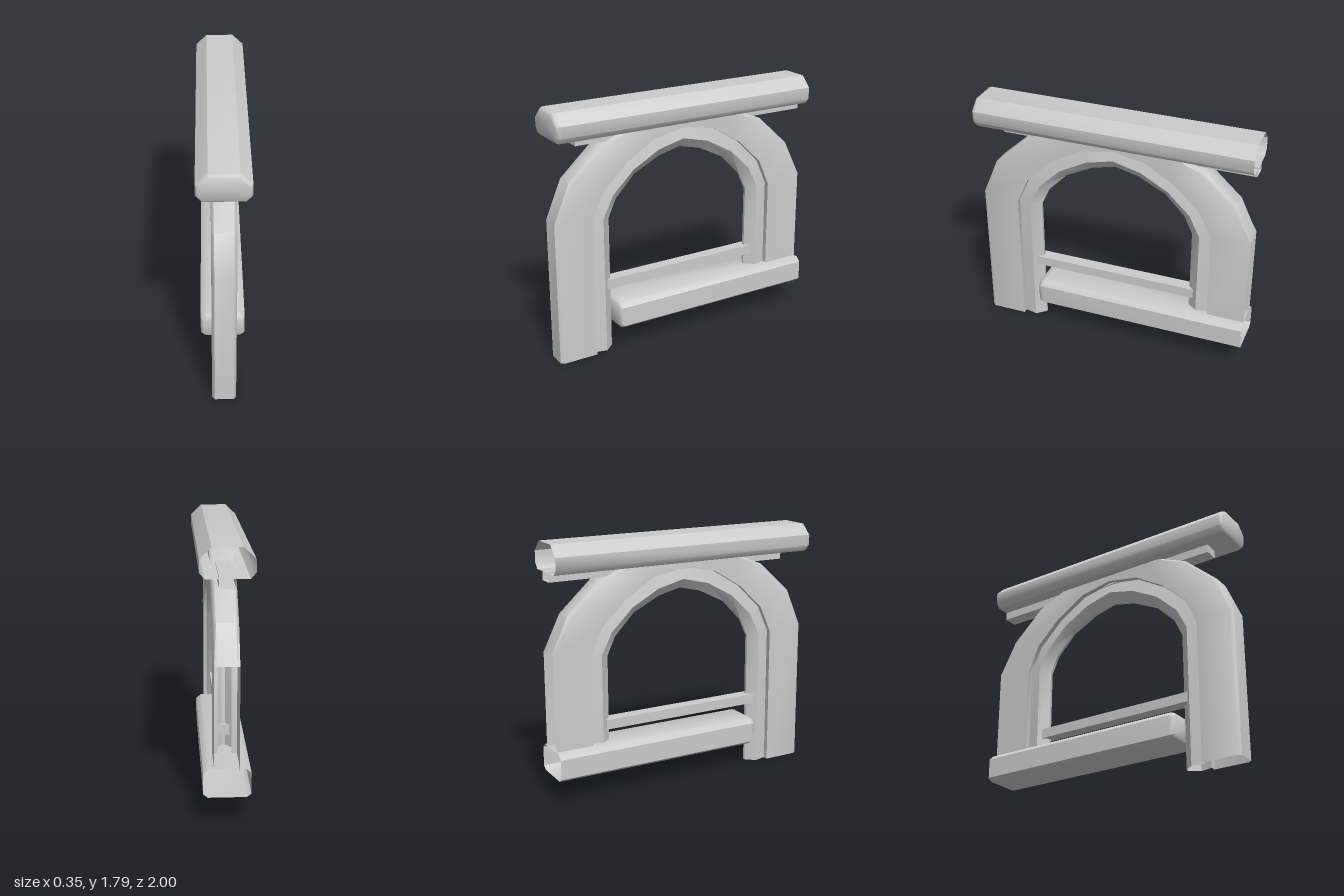
import * as THREE from 'three';
import { toCreasedNormals } from 'three/addons/utils/BufferGeometryUtils.js';

// Double sided, because the beams and legs are open at their ends
const material = new THREE.MeshStandardMaterial({ color: 0xcccccc, side: THREE.DoubleSide });

// Skins a list of closed rings; the ends stay open and skip(i, j) leaves out a face
function loft(name, rings, crease, skip = () => false) {
  const n = rings[0].length, index = [];
  for (let i = 0; i < rings.length - 1; i++) {
    for (let j = 0; j < n; j++) {
      if (skip(i, j)) continue;
      const a = i * n + j, b = i * n + (j + 1) % n;
      index.push(a, b, b + n, a, b + n, a + n);
    }
  }
  const geometry = new THREE.BufferGeometry();
  geometry.setAttribute('position', new THREE.Float32BufferAttribute(rings.flat(2), 3));
  geometry.setIndex(index);
  const mesh = new THREE.Mesh(toCreasedNormals(geometry, crease), material);
  mesh.name = name;
  return mesh;
}

// Completes a +x half section with its mirror image
const mirrorX = (half) => [...half, ...half.map(([x, y, z]) => [-x, y, z]).reverse()];

// Beam along z: rounded front end, open back end at z = -1
function beam(name, half, front, bevel) {
  const ys = half.map((p) => p[1]);
  const top = Math.max(...ys), bottom = Math.min(...ys), mid = (top + bottom) / 2;
  const width = Math.max(...half.map((p) => p[0]));
  const ring = (z, inset) => mirrorX(half.map(([x, y]) => [
    x * (1 - inset / width),
    mid + (y - mid) * (1 - inset / (mid - bottom)),
    z,
  ]));
  const centre = mirrorX(half.map(() => [0, mid, front]));
  return loft(name, [
    centre,
    ring(front, bevel * 0.6),
    ring(front - bevel * 0.35, bevel * 0.2),
    ring(front - bevel, 0),
    ring(-1, 0),
  ], 0.75);
}

// Arch stations as [z, y]: outer edge, panel edge, moulding crest, opening
const stations = [
  [[1, 0], [0.725, 0], [0.637, 0], [0.57, 0]],
  [[1, 1.03], [0.725, 1.01], [0.637, 1], [0.57, 0.98]],
  [[0.885, 1.3], [0.64, 1.2], [0.56, 1.155], [0.51, 1.11]],
  [[0.645, 1.52], [0.46, 1.375], [0.4, 1.31], [0.365, 1.26]],
  [[0.34, 1.65], [0.24, 1.51], [0.2, 1.42], [0.165, 1.36]],
  [[0, 1.7], [0, 1.555], [0, 1.47], [0, 1.4]],
];

function archRing([outer, panel, crest, opening]) {
  // Small chamfer on the outer edge, pulled toward the panel edge
  const chamfer = outer.map((v, k) => v + (panel[k] - v) * 0.085);
  const section = [[0.063, outer], [0.082, chamfer], [0.082, panel], [0.045, panel], [0.065, crest], [0.01, opening]];
  return mirrorX(section.map(([x, [z, y]]) => [x, y, z]));
}

function buildArch() {
  // The back half mirrors the front; its leg is cut off at z = -1 and rests on the lower rail
  const back = stations.slice(0, -1).reverse().map((s, i, all) =>
    s.map(([z, y], k) => [
      -z - (k === 0 && i >= all.length - 2 ? 0.025 : 0),
      i === all.length - 1 ? 0.36 : y + (k === 0 && i === all.length - 2 ? 0.02 : 0),
    ]));
  const rings = [...stations, ...back].map(archRing);
  for (const ring of rings) for (const p of ring) p[2] = Math.max(p[2], -1);
  // The cut side of the back leg is open
  const n = rings[0].length, last = rings.length - 2;
  const mesh = loft('arch', rings, 0.85, (i, j) => i === last && (j === 0 || j >= n - 2));
  mesh.position.x = 0.003;
  return mesh;
}

export function createModel() {
  const group = new THREE.Group();
  group.name = 'archedFrame';

  group.add(buildArch());

  group.add(beam('topRail', [[0.097, 1.795], [0.174, 1.72], [0.174, 1.64], [0.14, 1.6]], 1, 0.03));
  group.add(beam('topRailBatten', [[0.052, 1.61], [0.052, 1.54]], 0.82, 0));
  group.add(beam('lowerRail', [[0.12, 0.375], [0.155, 0.343], [0.155, 0.203], [0.125, 0.18]], 0.565, 0.036));

  // Thin crossbar between the legs
  const crossbar = new THREE.Mesh(new THREE.BoxGeometry(0.09, 0.07, 1.22), material);
  crossbar.name = 'crossbar';
  crossbar.position.set(0, 0.495, 0.005);
  group.add(crossbar);

  return group;
}
